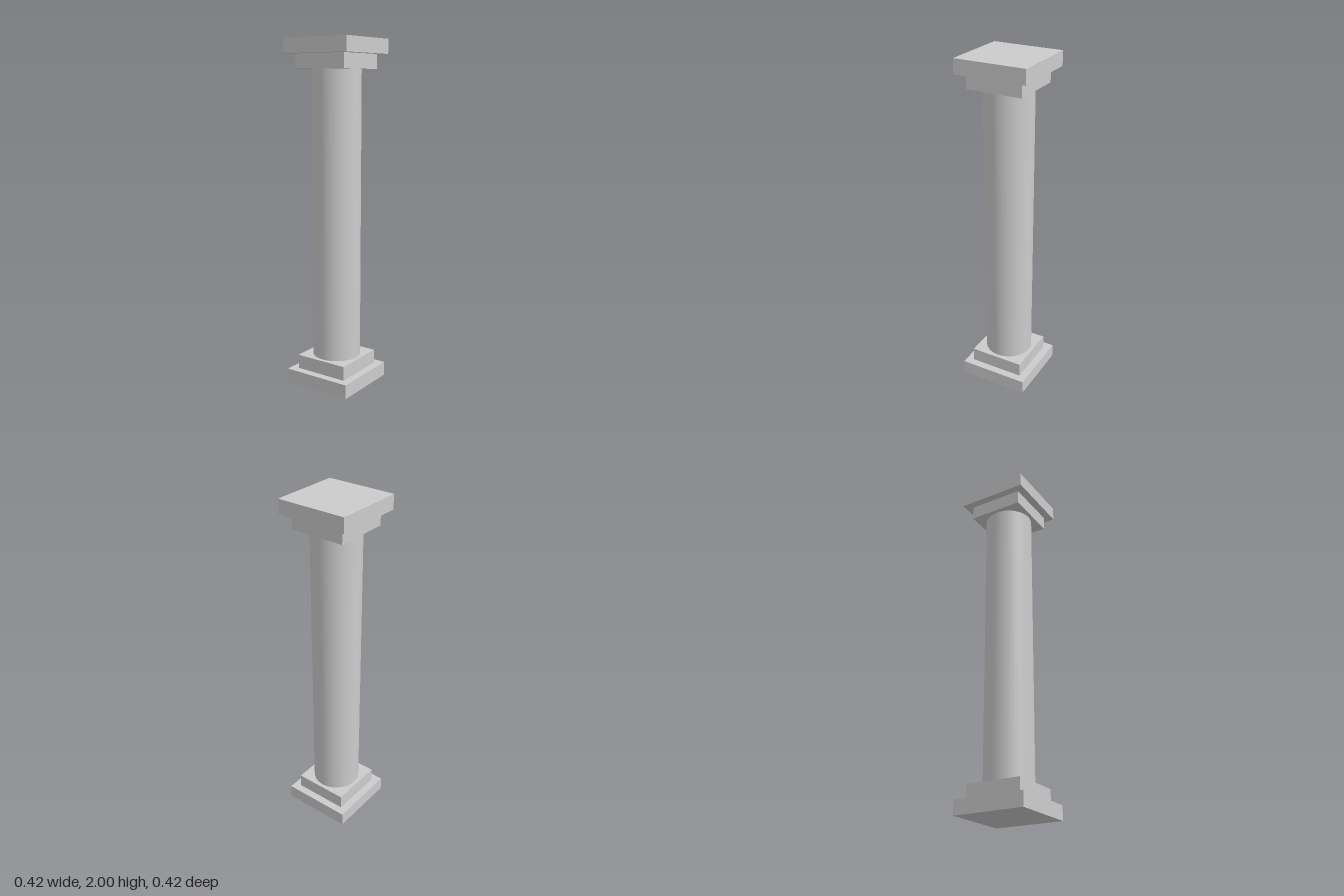
import * as THREE from 'three';

export function createModel() {
  const model = new THREE.Group();
  model.name = 'column';
  const stone = new THREE.MeshStandardMaterial({ color: 0xcccccc });
  stone.name = 'grey stone';

  const height = 2, slab = 0.083;

  const add = (name, geometry, y) => {
    const mesh = new THREE.Mesh(geometry, stone);
    mesh.name = name;
    mesh.position.y = y;
    model.add(mesh);
  };

  // Two square steps at each end, mirrored about mid-height
  const outer = new THREE.BoxGeometry(0.416, slab, 0.416);
  const inner = new THREE.BoxGeometry(0.325, slab, 0.325);
  add('basePlinth', outer, slab / 2);
  add('baseStep', inner, slab * 1.5);
  add('capitalStep', inner, height - slab * 1.5);
  add('capitalSlab', outer, height - slab / 2);

  // Smooth round shaft between the steps
  const shaft = new THREE.CylinderGeometry(0.14, 0.14, height - 4 * slab, 48);
  add('shaft', shaft, height / 2);

  return model;
}
